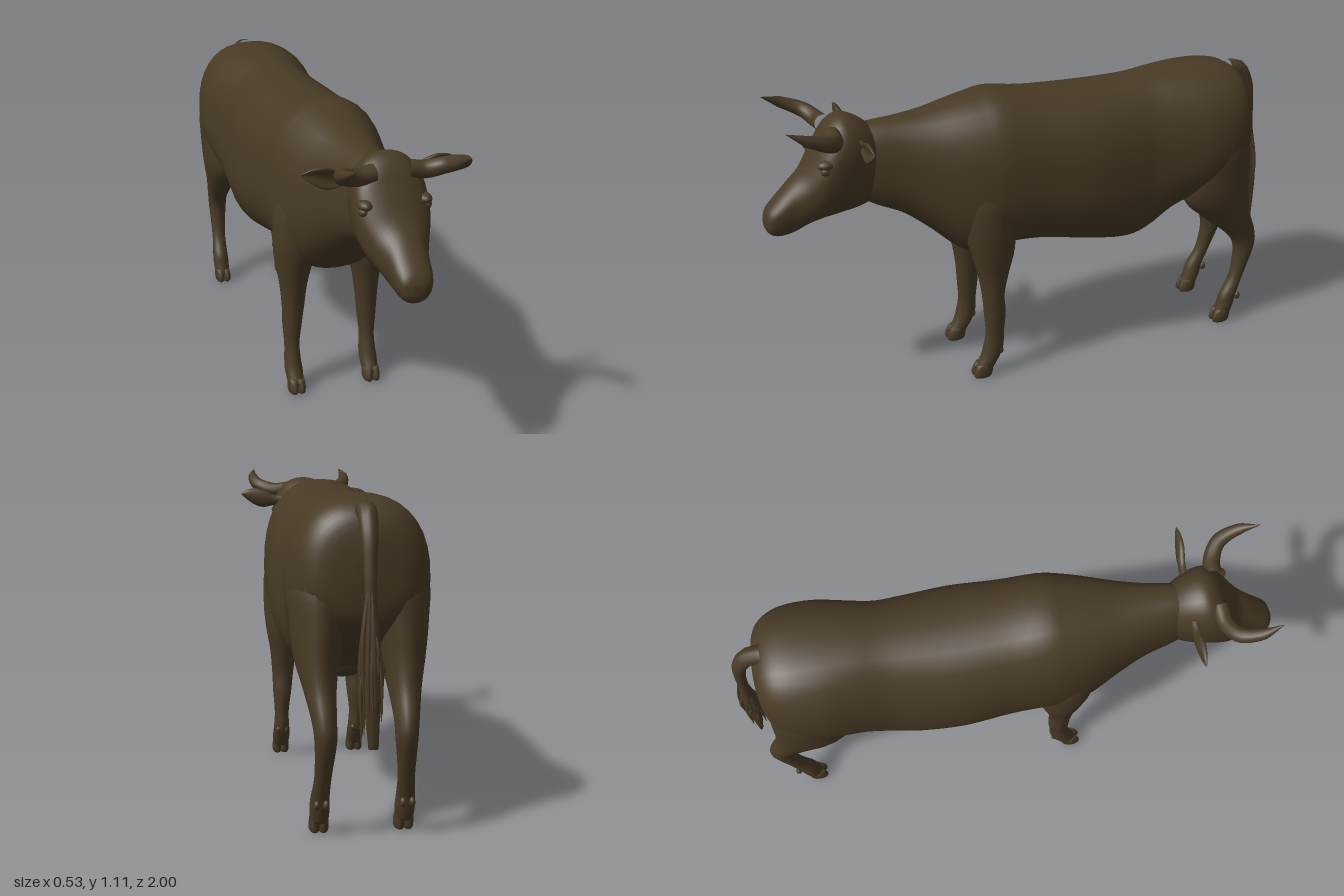
import * as THREE from 'three';

const hide = new THREE.MeshStandardMaterial({ color: 0x483a25 });
hide.name = 'brownHide';

// Catmull-Rom blend through rows of numbers
function smoothRows(rows, steps) {
  const out = [];
  for (let i = 0; i < rows.length - 1; i++) {
    const a = rows[Math.max(i - 1, 0)], b = rows[i], c = rows[i + 1], d = rows[Math.min(i + 2, rows.length - 1)];
    for (let s = 0; s < steps; s++) {
      const t = s / steps;
      out.push(b.map((v, k) => {
        const slope = c[k] - a[k];
        const bend = 2 * a[k] - 5 * v + 4 * c[k] - d[k];
        const twist = 3 * (v - c[k]) + d[k] - a[k];
        return v + 0.5 * t * (slope + t * (bend + t * twist));
      }));
    }
  }
  out.push(rows[rows.length - 1]);
  return out;
}

// Skin over cross-sections; ringPoint(row, cos, sin) gives [x, y, z]
function loft(name, rows, ringPoint, sides = 24, steps = 4) {
  const rings = smoothRows(rows, steps), pos = [], idx = [];
  for (const r of rings) {
    for (let j = 0; j < sides; j++) {
      const a = j / sides * Math.PI * 2;
      pos.push(...ringPoint(r, Math.cos(a), Math.sin(a)));
    }
  }
  for (let i = 0; i < rings.length - 1; i++) {
    for (let j = 0; j < sides; j++) {
      const k = (j + 1) % sides, a = i * sides, b = a + sides;
      idx.push(a + j, a + k, b + k, a + j, b + k, b + j);
    }
  }
  // end caps
  const last = (rings.length - 1) * sides;
  for (let j = 1; j < sides - 1; j++) {
    idx.push(0, j + 1, j, last, last + j, last + j + 1);
  }
  // turn the skin outward if its enclosed volume is negative
  const p = i => new THREE.Vector3().fromArray(pos, i * 3);
  let volume = 0;
  for (let i = 0; i < idx.length; i += 3) volume += p(idx[i]).dot(p(idx[i + 1]).cross(p(idx[i + 2])));
  if (volume < 0) idx.reverse();
  const g = new THREE.BufferGeometry();
  g.setAttribute('position', new THREE.Float32BufferAttribute(pos, 3));
  g.setIndex(idx);
  g.computeVertexNormals();
  const m = new THREE.Mesh(g, hide);
  m.name = name;
  return m;
}

const power = (v, e) => Math.sign(v) * Math.pow(Math.abs(v), e);

// row: z, bottom y, top y, half width; widest point at a share of the height
const trunkRing = (wide, e) => ([z, lo, hi, w], c, s) => {
  const mid = lo + (hi - lo) * wide;
  return [w * power(c, e), mid + power(s, e) * (s > 0 ? hi - mid : mid - lo), z];
};

// row: y, x, z, half width, half depth
const legRing = side => ([y, x, z, a, b], c, s) => [side * (x + a * c), y, z + b * s];

function ellipsoid(name, x, y, z, rx, ry, rz) {
  const m = new THREE.Mesh(new THREE.SphereGeometry(1, 16, 12), hide);
  m.name = name;
  m.position.set(x, y, z);
  m.scale.set(rx, ry, rz);
  return m;
}

const BODY = [
  [0.68, 0.78, 1.03, 0.07], [0.6, 0.73, 1.04, 0.092], [0.5, 0.68, 1.045, 0.115],
  [0.4, 0.60, 1.055, 0.15], [0.3, 0.51, 1.075, 0.19], [0.22, 0.49, 1.09, 0.212],
  [0.14, 0.505, 1.1, 0.222], [0, 0.50, 1.08, 0.226], [-0.18, 0.465, 1.07, 0.238],
  [-0.34, 0.435, 1.07, 0.226], [-0.44, 0.45, 1.075, 0.215], [-0.54, 0.52, 1.085, 0.222],
  [-0.66, 0.57, 1.09, 0.237], [-0.77, 0.6, 1.085, 0.228], [-0.84, 0.65, 1.06, 0.195],
  [-0.88, 0.71, 1.01, 0.14], [-0.895, 0.82, 0.92, 0.03],
];
const HEAD = [
  [0.58, 0.79, 1.01, 0.07], [0.63, 0.745, 1.055, 0.1], [0.68, 0.73, 1.083, 0.118], [0.72, 0.725, 1.083, 0.126],
  [0.76, 0.72, 1.05, 0.127], [0.8, 0.715, 0.985, 0.12], [0.85, 0.70, 0.905, 0.095],
  [0.9, 0.675, 0.86, 0.072], [0.95, 0.668, 0.81, 0.063], [0.983, 0.68, 0.775, 0.05],
  [0.998, 0.705, 0.745, 0.02],
];
const FRONT_LEG = [
  [0.9, 0.1, 0.2, 0.06, 0.07], [0.75, 0.12, 0.21, 0.092, 0.11], [0.62, 0.13, 0.21, 0.088, 0.1],
  [0.52, 0.14, 0.2, 0.07, 0.083], [0.43, 0.143, 0.2, 0.052, 0.06], [0.34, 0.145, 0.202, 0.042, 0.043],
  [0.26, 0.148, 0.198, 0.036, 0.042], [0.18, 0.15, 0.2, 0.028, 0.036], [0.12, 0.15, 0.207, 0.03, 0.04],
  [0.08, 0.15, 0.22, 0.033, 0.038], [0.035, 0.15, 0.245, 0.03, 0.036],
];
const HIND_LEG = [
  [0.98, 0.1, -0.72, 0.06, 0.07], [0.82, 0.125, -0.73, 0.102, 0.135], [0.69, 0.135, -0.735, 0.092, 0.145],
  [0.57, 0.14, -0.745, 0.075, 0.14], [0.48, 0.138, -0.8, 0.055, 0.1], [0.39, 0.133, -0.87, 0.041, 0.063],
  [0.32, 0.13, -0.893, 0.036, 0.045], [0.2, 0.135, -0.866, 0.028, 0.029], [0.12, 0.14, -0.83, 0.031, 0.034],
  [0.08, 0.14, -0.82, 0.033, 0.035], [0.035, 0.14, -0.805, 0.03, 0.035],
];

function addLeg(group, name, rows, side) {
  const leg = new THREE.Group();
  leg.name = name;
  leg.add(loft(name + 'Limb', rows, legRing(side), 20));
  const [, x, z] = rows[rows.length - 1];
  // cloven hoof and dewclaws
  for (const d of [-1, 1]) {
    leg.add(loft('hoof', [
      [0.055, x + d * 0.013, z, 0.017, 0.032], [0.025, x + d * 0.014, z + 0.008, 0.019, 0.037],
      [0.006, x + d * 0.014, z + 0.01, 0.017, 0.035], [0, x + d * 0.014, z + 0.01, 0.012, 0.028],
    ], legRing(side), 14, 2));
    leg.add(ellipsoid('dewclaw', side * (x + d * 0.015), 0.105, z - 0.062, 0.01, 0.016, 0.012));
  }
  group.add(leg);
}

// round tapering strand along a path
function taper(name, points, radii, sides = 14) {
  const curve = new THREE.CatmullRomCurve3(points.map(p => new THREE.Vector3(...p)));
  const n = 20, g = new THREE.TubeGeometry(curve, n, 1, sides, false), p = g.attributes.position;
  for (let i = 0; i <= n; i++) {
    const f = i / n * (radii.length - 1), k = Math.min(Math.floor(f), radii.length - 2);
    const r = THREE.MathUtils.lerp(radii[k], radii[k + 1], f - k), c = curve.getPointAt(i / n);
    for (let j = 0; j <= sides; j++) {
      const v = i * (sides + 1) + j;
      p.setXYZ(v, c.x + (p.getX(v) - c.x) * r, c.y + (p.getY(v) - c.y) * r, c.z + (p.getZ(v) - c.z) * r);
    }
  }
  const m = new THREE.Mesh(g, hide);
  m.name = name;
  return m;
}

export function createModel() {
  const cow = new THREE.Group();
  cow.name = 'cow';
  cow.add(loft('body', BODY, trunkRing(0.44, 0.84), 36));
  cow.add(loft('head', HEAD, trunkRing(0.6, 0.92), 32));
  cow.add(ellipsoid('udder', 0, 0.49, -0.37, 0.1, 0.062, 0.12));

  for (const s of [-1, 1]) {
    const label = s > 0 ? 'left' : 'right';
    addLeg(cow, label + 'FrontLeg', FRONT_LEG, s);
    addLeg(cow, label + 'HindLeg', HIND_LEG, s);
    cow.add(taper(label + 'Horn', [
      [s * 0.06, 1.035, 0.75], [s * 0.12, 1.03, 0.757], [s * 0.178, 1.05, 0.79],
      [s * 0.2, 1.08, 0.86], [s * 0.19, 1.113, 0.932],
    ], [0.031, 0.03, 0.027, 0.02, 0.001]));
    // ear, hollowed on its front; row: x, y, z, half height, half thickness
    cow.add(loft(label + 'Ear', [
      [0.09, 0.995, 0.66, 0.02, 0.018], [0.13, 0.993, 0.662, 0.022, 0.018], [0.165, 0.998, 0.664, 0.035, 0.02],
      [0.2, 1.005, 0.666, 0.037, 0.019], [0.24, 1.015, 0.664, 0.022, 0.012], [0.266, 1.02, 0.662, 0.003, 0.003],
    ], ([x, y, z, h, d], c, v) => [s * x, y + h * c, z + d * (v > 0 ? v * (1 - 1.2 * v * v) : v)], 20));
    // eye, brow and nostril
    cow.add(ellipsoid(label + 'Eye', s * 0.109, 0.925, 0.79, 0.016, 0.016, 0.02));
    cow.add(ellipsoid(label + 'Brow', s * 0.102, 0.945, 0.785, 0.024, 0.018, 0.034));
    cow.add(ellipsoid(label + 'Nostril', s * 0.034, 0.745, 0.973, 0.014, 0.016, 0.014));
  }

  // tail and its tuft of hair
  cow.add(taper('tail', [
    [0, 1.04, -0.84], [0, 1.035, -0.885], [0, 0.97, -0.928], [0, 0.87, -0.947], [0, 0.76, -0.955], [-0.003, 0.62, -0.96],
  ], [0.035, 0.03, 0.023, 0.019, 0.017, 0.015]));
  const tuft = new THREE.Group();
  tuft.name = 'tailTuft';
  tuft.add(loft('tuftCore', [
    [0.81, 0, -0.954, 0.014, 0.014], [0.7, 0, -0.958, 0.026, 0.024], [0.55, -0.005, -0.964, 0.03, 0.028],
    [0.42, -0.005, -0.967, 0.024, 0.02], [0.31, -0.008, -0.972, 0.016, 0.008],
  ], legRing(1), 10));
  for (let i = 0; i < 16; i++) {
    const a = i * 2.4, top = 0.8 - (i % 5) * 0.06, low = 0.32 + (i * 7 % 10) * 0.025;
    const x = Math.cos(a), z = Math.sin(a);
    tuft.add(taper('strand', [
      [x * 0.012, top, -0.956 + z * 0.012], [x * 0.032, (top + low) / 2 + 0.03, -0.963 + z * 0.027],
      [x * 0.034 - 0.004, low, -0.968 + z * 0.028],
    ], [0.004, 0.009, 0.001], 5));
  }
  cow.add(tuft);
  return cow;
}
